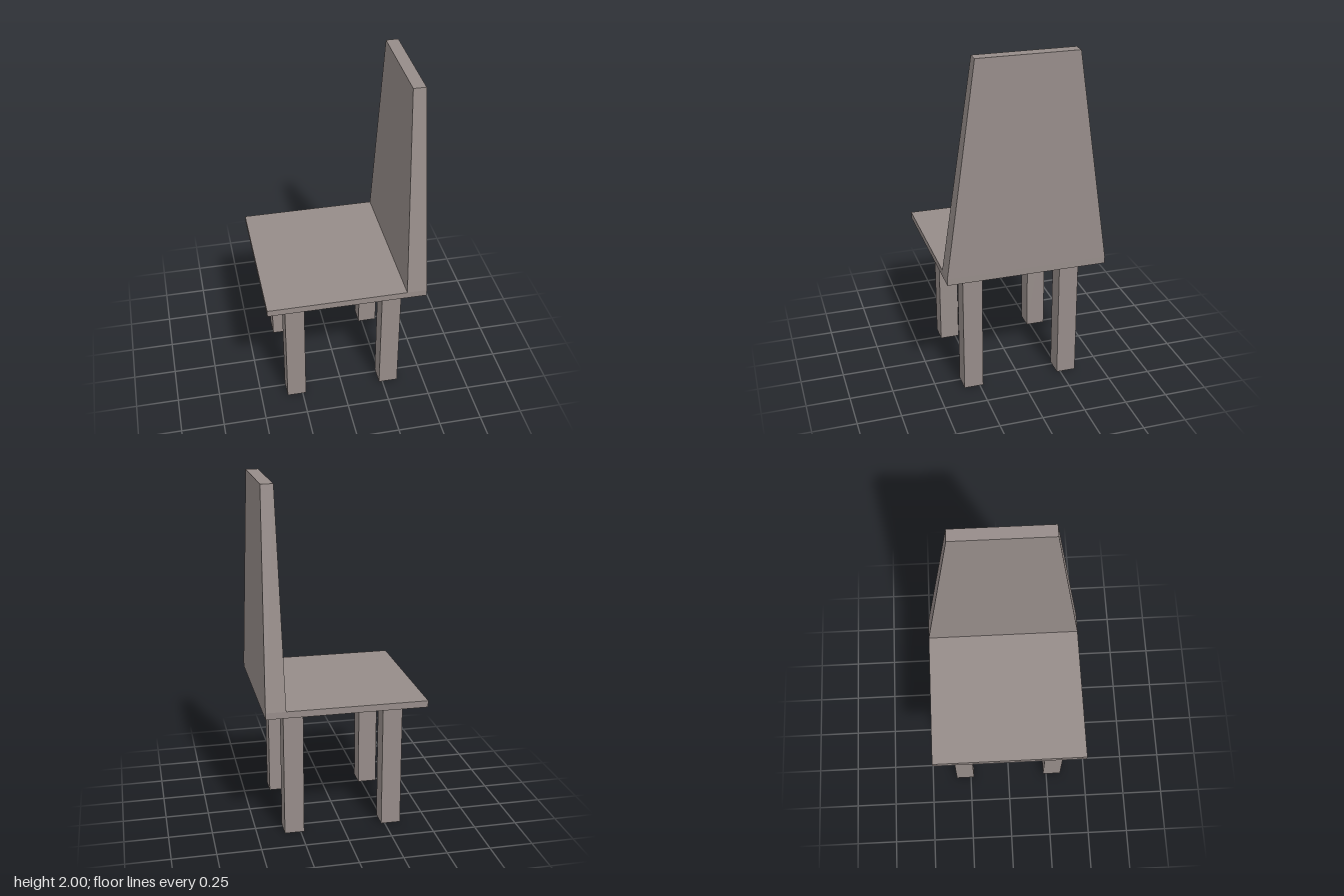
import * as THREE from 'three';

const material = new THREE.MeshStandardMaterial({ color: 0x968c89, flatShading: true });

const SEAT_BOTTOM = 0.757;
const SEAT_TOP = 0.795;
const TOP = 2;

// Box named and placed by its centre
function box(name, w, h, d, x, y, z) {
  const mesh = new THREE.Mesh(new THREE.BoxGeometry(w, h, d), material);
  mesh.name = name;
  mesh.position.set(x, y, z);
  return mesh;
}

export function createModel() {
  const chair = new THREE.Group();
  chair.name = 'chair';

  // Thin square seat
  chair.add(box('seat', 0.914, SEAT_TOP - SEAT_BOTTOM, 0.914, 0, (SEAT_TOP + SEAT_BOTTOM) / 2, 0));

  // Tall backrest on the +x edge, its top face narrowed in both directions
  const height = TOP - SEAT_TOP;
  const backrest = box('backrest', 0.114, height, 0.914, 0.4, SEAT_TOP + height / 2, 0);
  const pos = backrest.geometry.attributes.position;
  for (let i = 0; i < pos.count; i++) {
    if (pos.getY(i) > 0) {
      pos.setX(i, pos.getX(i) * 0.62);
      pos.setZ(i, pos.getZ(i) * 0.622);
    }
  }
  backrest.geometry.computeVertexNormals();
  chair.add(backrest);

  // Four square legs set in from the corners
  for (const [xName, sx] of [['left', 1], ['right', -1]]) {
    for (const [zName, sz] of [['Front', 1], ['Back', -1]]) {
      chair.add(box(`${xName}${zName}Leg`, 0.113, SEAT_BOTTOM, 0.113, sx * 0.286, SEAT_BOTTOM / 2, sz * 0.286));
    }
  }

  return chair;
}
